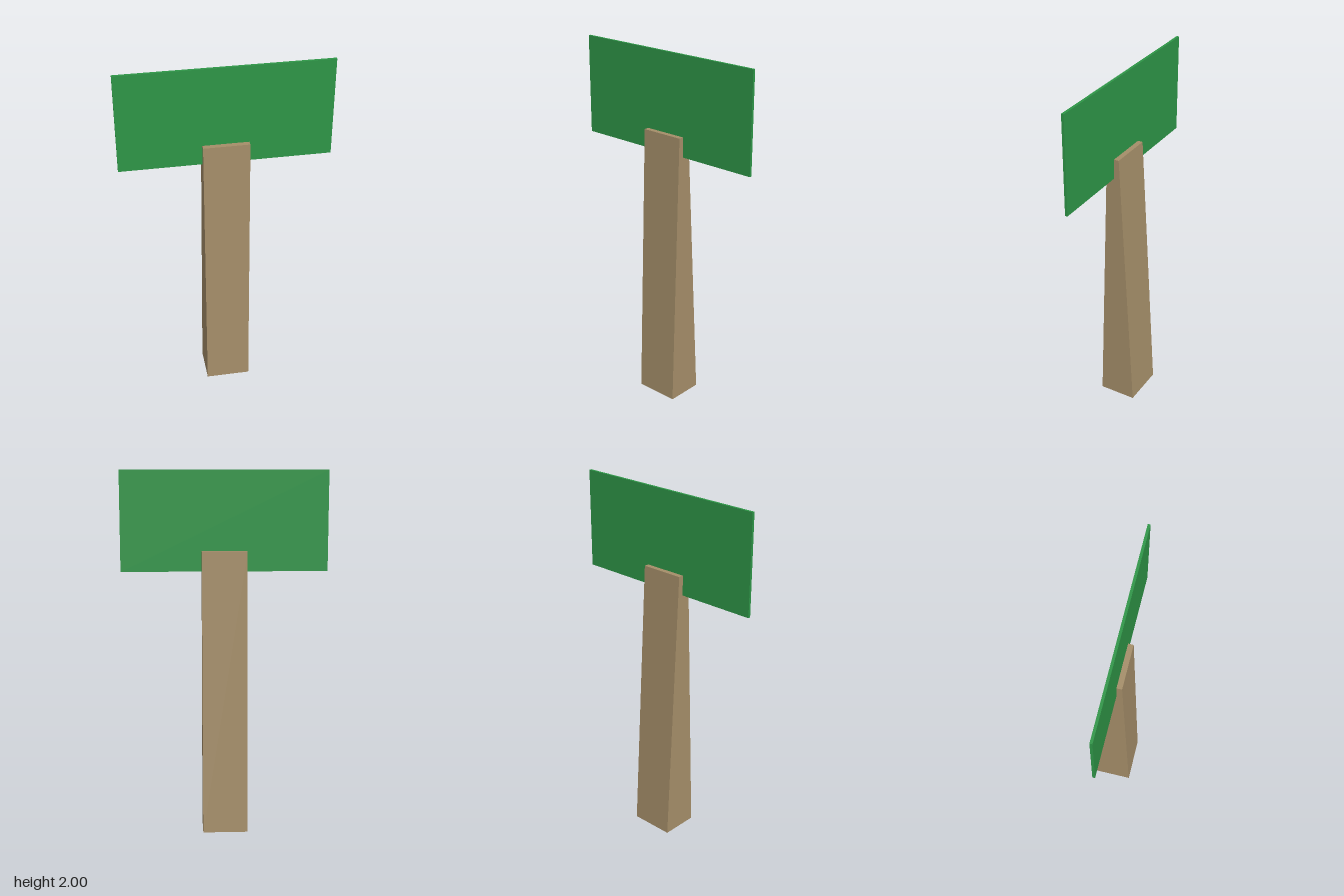
import * as THREE from 'three';

export function createModel() {
  const wood = new THREE.MeshStandardMaterial({ name: 'wood', color: 0xa58e69 });
  const green = new THREE.MeshStandardMaterial({ name: 'green', color: 0x2e9647 });
  const group = new THREE.Group();
  group.name = 'signpost';

  // Post: tapered side profile (z, y) extruded across its width
  const width = 0.248;
  const profile = new THREE.Shape([
    new THREE.Vector2(-0.105, 0),
    new THREE.Vector2(0.105, 0),
    new THREE.Vector2(0.054, 1.565),
    new THREE.Vector2(-0.017, 1.565),
  ]);
  const postGeometry = new THREE.ExtrudeGeometry(profile, { depth: width, bevelEnabled: false });
  postGeometry.translate(0, 0, -width / 2).rotateY(-Math.PI / 2);
  const post = new THREE.Mesh(postGeometry, wood);
  post.name = 'post';
  group.add(post);

  // Sign board: thin panel set into the top of the post
  const board = new THREE.Mesh(new THREE.BoxGeometry(1.13, 0.546, 0.014), green);
  board.name = 'signBoard';
  board.position.set(0, 1.727, 0.018);
  group.add(board);

  return group;
}
